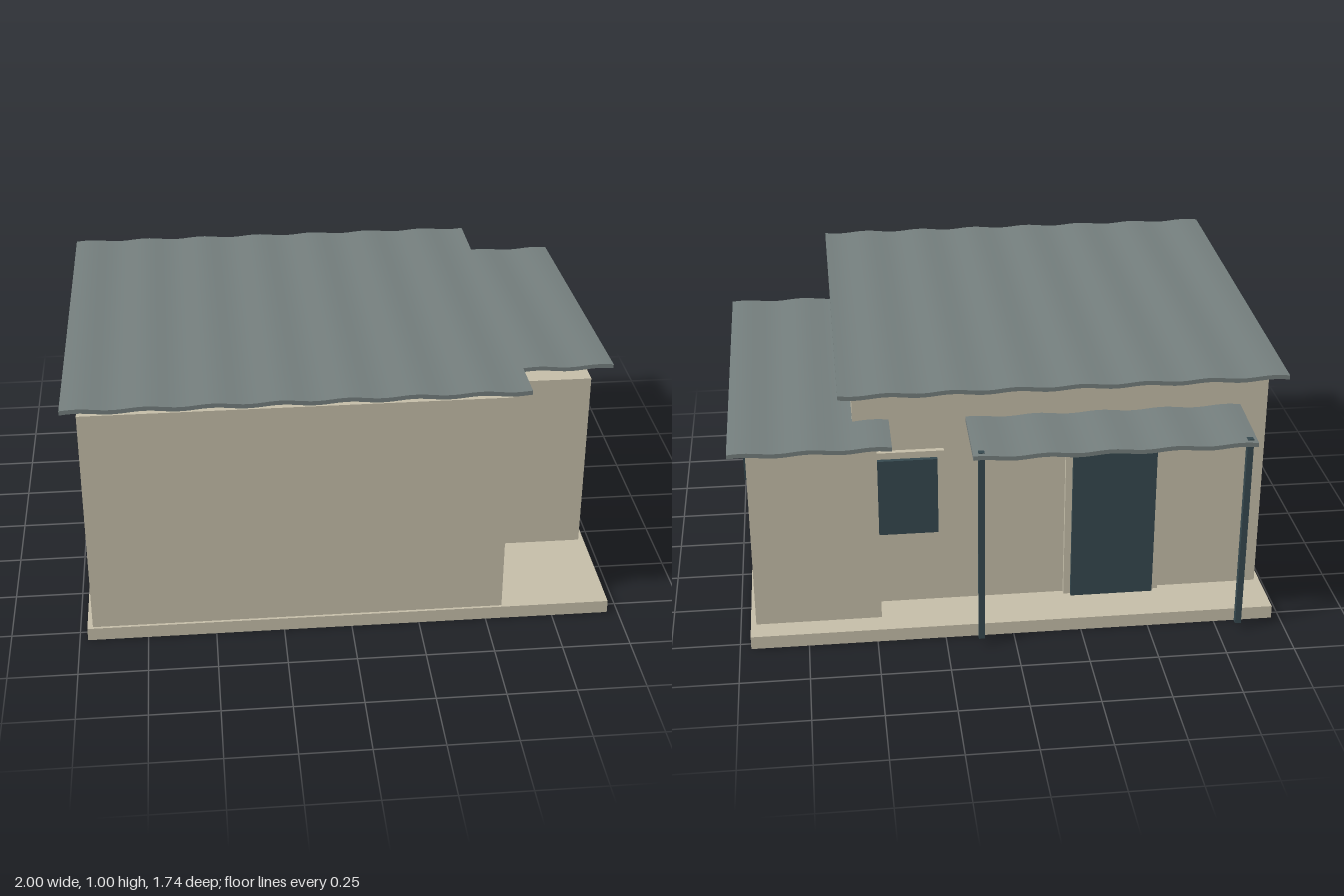
import * as THREE from 'three';
import { toCreasedNormals } from 'three/addons/utils/BufferGeometryUtils.js';

const material = (name, color) => {
  const m = new THREE.MeshStandardMaterial({ color });
  m.name = name;
  return m;
};

export function createModel() {
  const house = new THREE.Group();
  house.name = 'house';

  const plaster = material('beige plaster', 0xc4bda8);
  const sheet = material('grey roof sheet', 0x747e7d);
  const dark = material('dark blue grey', 0x35484e);

  // Box given by its two extents on each axis
  function box(name, mat, [x0, x1], [y0, y1], [z0, z1]) {
    const mesh = new THREE.Mesh(new THREE.BoxGeometry(x1 - x0, y1 - y0, z1 - z0), mat);
    mesh.position.set((x0 + x1) / 2, (y0 + y1) / 2, (z0 + z1) / 2);
    mesh.name = name;
    house.add(mesh);
  }

  // Corrugated sheet: wavy strip extruded along z, then sheared to its slope
  function roof(name, [x0, x1], [zBack, zFront], [yBack, yFront]) {
    const period = 0.23, amplitude = 0.004, half = 0.008;
    const steps = Math.round((x1 - x0) / period * 10);
    const top = [], bottom = [];
    for (let i = 0; i <= steps; i++) {
      const x = x0 + (x1 - x0) * i / steps;
      const y = amplitude * Math.sin((x - x0) / period * Math.PI * 2);
      bottom.push(new THREE.Vector2(x, y - half));
      top.unshift(new THREE.Vector2(x, y + half));
    }
    const depth = zFront - zBack;
    const geometry = new THREE.ExtrudeGeometry(new THREE.Shape([...bottom, ...top]), { depth, bevelEnabled: false });
    const p = geometry.attributes.position;
    for (let i = 0; i < p.count; i++) {
      p.setY(i, p.getY(i) + yBack + (yFront - yBack) * p.getZ(i) / depth);
    }
    geometry.translate(0, 0, zBack);
    const mesh = new THREE.Mesh(toCreasedNormals(geometry, 0.6), sheet);
    mesh.name = name;
    house.add(mesh);
  }

  // Floor slab and the two wall blocks
  box('floorSlab', plaster, [-0.97, 0.96], [0, 0.05], [-0.785, 0.8]);
  box('mainWalls', plaster, [-0.95, 0.56], [0.05, 0.93], [-0.59, 0.79]);
  box('annexWalls', plaster, [0.48, 0.94], [0.05, 0.77], [-0.7, 0.38]);

  // Sloping roofs
  roof('mainRoof', [-1, 0.61], [-0.68, 0.87], [0.937, 0.99]);
  roof('annexRoof', [0.43, 1], [-0.79, 0.455], [0.784, 0.857]);
  roof('porchRoof', [-0.85, 0.155], [-0.87, -0.59], [0.77, 0.79]);

  // Porch posts
  for (const x of [-0.825, 0.125]) {
    box('porchPost', dark, [x - 0.011, x + 0.011], [0.03, 0.785], [-0.855, -0.833]);
  }

  // Side windows, standing slightly off the walls
  box('leftWindow', dark, [0.956, 0.973], [0.36, 0.65], [-0.145, 0.165]);
  box('rightWindow', dark, [-0.985, -0.968], [0.36, 0.65], [-0.145, 0.165]);

  // Back door and back window, each on a wider frame
  box('doorFrame', plaster, [-0.57, -0.21], [0.05, 0.715], [-0.61, -0.59]);
  box('door', dark, [-0.545, -0.235], [0.05, 0.69], [-0.627, -0.61]);
  box('backWindowFrame', plaster, [0.235, 0.5], [0.335, 0.68], [-0.61, -0.59]);
  box('backWindow', dark, [0.26, 0.5], [0.355, 0.655], [-0.627, -0.61]);

  return house;
}
